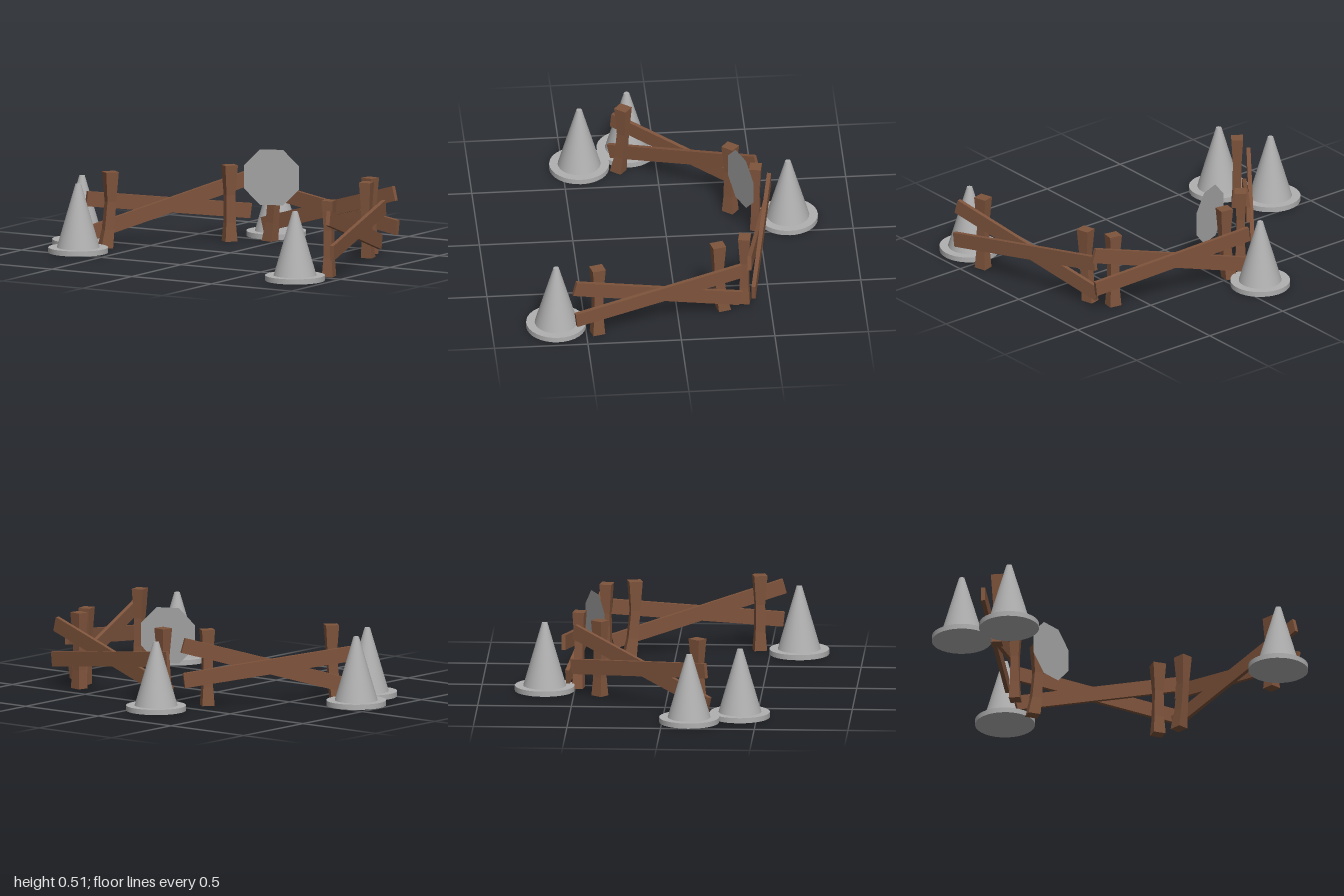
import * as THREE from 'three';

const wood = new THREE.MeshStandardMaterial({ color: 0x7f543c });
wood.name = 'brown wood';
const grey = new THREE.MeshStandardMaterial({ color: 0xb0b0b0 });
grey.name = 'plain grey';
const signGrey = new THREE.MeshStandardMaterial({ color: 0xa6a6a6, side: THREE.DoubleSide });
signGrey.name = 'sign grey';

function part(name, geometry, material, x = 0, y = 0, z = 0) {
  const mesh = new THREE.Mesh(geometry, material);
  mesh.name = name;
  mesh.position.set(x, y, z);
  return mesh;
}

// Square post, pinched in the middle; its foot can drift sideways
function postGeometry(drift) {
  const rings = [ // y, half width, share of drift
    [0, 0.034, 1], [0.1, 0.027, 0.45], [0.25, 0.025, 0], [0.41, 0.036, 0],
  ];
  const geo = new THREE.BoxGeometry(2, 3, 2, 1, 3, 1);
  const p = geo.attributes.position;
  for (let i = 0; i < p.count; i++) {
    const [y, half, share] = rings[Math.round(p.getY(i) + 1.5)];
    p.setXYZ(i, p.getX(i) * half + drift * share, y, p.getZ(i) * half * 0.88);
  }
  const flat = geo.toNonIndexed();
  flat.computeVertexNormals();
  return flat;
}

// Plank running between two heights across the fence
function plank(name, yStart, yEnd, z) {
  const run = 0.935;
  const slope = Math.atan2(yEnd - yStart, run);
  const geo = new THREE.BoxGeometry(run / Math.cos(slope), 0.08, 0.022);
  const mesh = part(name, geo, wood, 0, (yStart + yEnd) / 2, z);
  mesh.rotation.z = slope;
  return mesh;
}

// Two crossed planks on two posts; local +z is the inner side
function fence(x, z, dx, dz) {
  const group = new THREE.Group();
  group.name = 'fence';
  group.add(
    plank('innerPlank', 0.075, 0.335, 0.011),
    plank('outerPlank', 0.262, 0.148, -0.011),
    part('bentPost', postGeometry(-0.03), wood, -0.355, 0, 0.052),
    part('straightPost', postGeometry(0), wood, 0.325, 0, 0.05),
  );
  group.position.set(x, 0, z);
  group.rotation.y = -Math.atan2(dz, dx);
  return group;
}

// Traffic cone on a round foot
function cone(x, z) {
  const group = new THREE.Group();
  group.name = 'cone';
  group.add(
    part('coneFoot', new THREE.CylinderGeometry(0.16, 0.16, 0.028, 32), grey, 0, 0.014, 0),
    part('coneBody', new THREE.CylinderGeometry(0.015, 0.115, 0.344, 32), grey, 0, 0.198, 0),
  );
  group.position.set(x, 0, z);
  return group;
}

export function createModel() {
  const model = new THREE.Group();
  model.name = 'roadBarrier';

  // Three fences in an open ring
  model.add(
    fence(-0.465, -0.133, 0.58, -0.755),
    fence(0.338, -0.47, 0.935, 0.16),
    fence(0.858, 0.113, 0.236, 0.917),
  );

  for (const [x, z] of [[-0.84, 0.145], [-0.7, 0.41], [-0.12, -0.66], [0.81, 0.655]]) {
    model.add(cone(x, z));
  }

  // Thin octagonal sign with a flat top edge
  const octagon = new THREE.CircleGeometry(0.162, 8, Math.PI / 8);
  const sign = part('sign', octagon, signGrey, 0.013, 0.357, -0.397);
  sign.rotation.y = 0.39;
  model.add(sign);

  return model;
}
